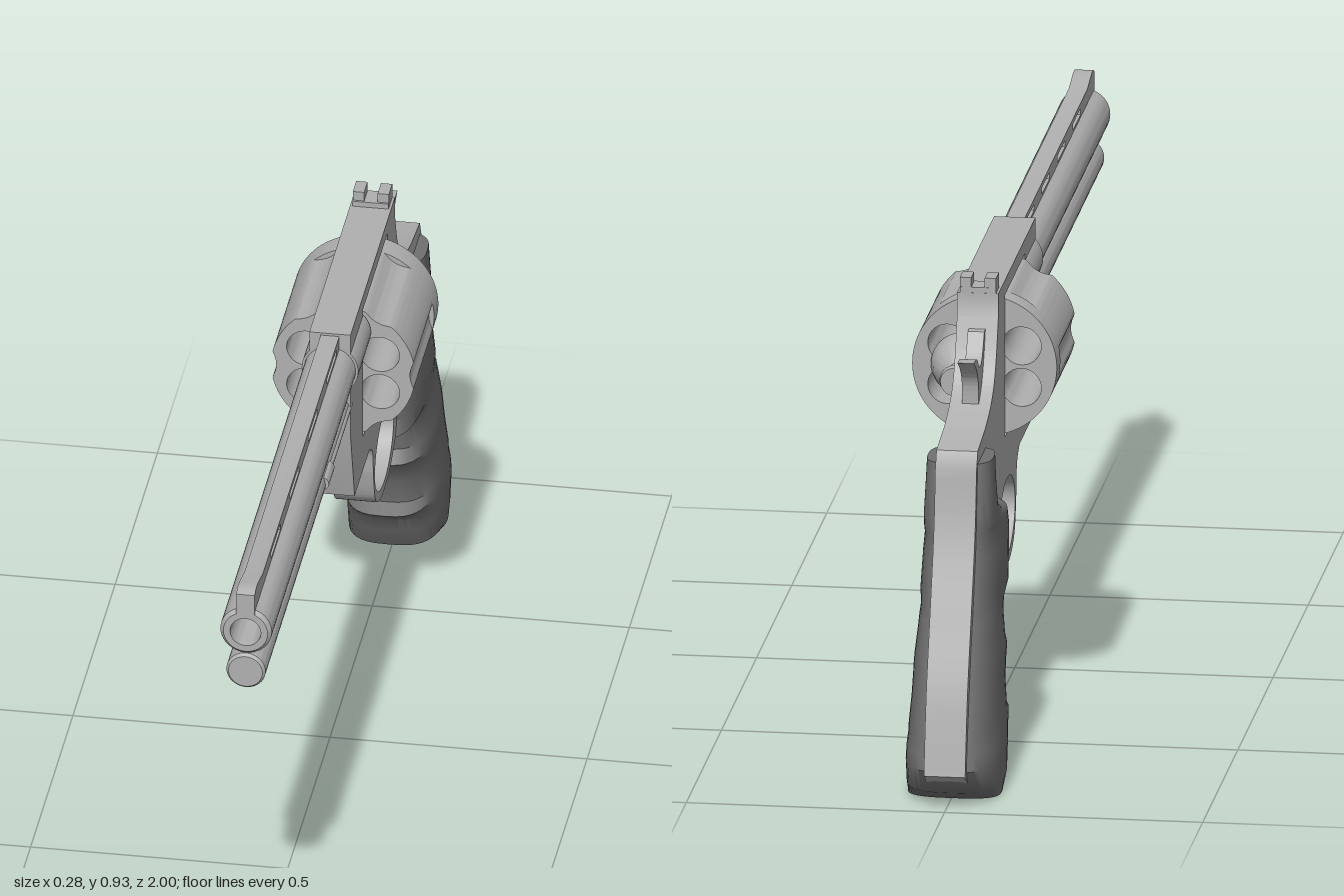
import * as THREE from 'three';
import { toCreasedNormals } from 'three/addons/utils/BufferGeometryUtils.js';

const steel = new THREE.MeshStandardMaterial({ color: 0xb0b0b0 });
steel.name = 'steel grey';
const rubber = new THREE.MeshStandardMaterial({ color: 0x707070 });
rubber.name = 'dark grip grey';

const vecs = (pts) => pts.map(([a, b]) => new THREE.Vector2(a, b));

function add(group, name, geometry, material = steel) {
  const mesh = new THREE.Mesh(toCreasedNormals(geometry, 0.6), material);
  mesh.name = name;
  group.add(mesh);
  return mesh;
}

// Extrudes a side profile drawn in (z, y), centred on x = 0
function sidePlate(shape, width) {
  const g = new THREE.ExtrudeGeometry(shape, { depth: width, bevelEnabled: false, curveSegments: 16 });
  return g.translate(0, 0, -width / 2).rotateY(-Math.PI / 2);
}

// Turned part along z; profile of [radius, z] from back to front
function turned(profile, x, y, segments = 40) {
  return new THREE.LatheGeometry(vecs(profile), segments).rotateX(Math.PI / 2).translate(x, y, 0);
}

function box(w, h, d, x, y, z) {
  return new THREE.BoxGeometry(w, h, d).translate(x, y, z);
}

function rectHole(z0, z1, y0, y1) {
  return new THREE.Path(vecs([[z0, y0], [z1, y0], [z1, y1], [z0, y1]]));
}

// Frame with top strap, trigger guard and backstrap in one outline
function frameGeometry() {
  const s = new THREE.Shape();
  s.moveTo(0, 0.905);
  s.lineTo(0, 0.68);
  s.lineTo(-0.048, 0.518);
  s.lineTo(-0.225, 0.518);
  s.splineThru(vecs([[-0.262, 0.49], [-0.272, 0.43], [-0.295, 0.365], [-0.35, 0.333],
    [-0.42, 0.328], [-0.48, 0.338], [-0.54, 0.37]]));
  s.lineTo(-0.64, 0.38);
  s.lineTo(-0.7, 0.25);
  s.lineTo(-0.76, 0.1);
  s.lineTo(-0.96, 0.05);
  s.lineTo(-1.0, 0.075);
  s.splineThru(vecs([[-0.968, 0.225], [-0.918, 0.36], [-0.872, 0.48], [-0.85, 0.56], [-0.838, 0.64]]));
  s.lineTo(-0.82, 0.675);
  s.lineTo(-0.71, 0.69);
  s.splineThru(vecs([[-0.64, 0.71], [-0.59, 0.74], [-0.555, 0.79], [-0.525, 0.865]]));
  s.lineTo(-0.525, 0.905);
  s.holes.push(rectHole(-0.435, -0.15, 0.592, 0.876));
  const guard = new THREE.Path();
  guard.absellipse(-0.4, 0.423, 0.112, 0.078, 0, Math.PI * 2);
  s.holes.push(guard);
  return sidePlate(s, 0.08);
}

// Chambered disc; fluted scallops lie between the chambers
function drumGeometry(fluted, depth, z) {
  const pts = [], n = 180, d = 0.185, r = 0.055, sector = Math.PI / 3;
  for (let i = 0; i < n; i++) {
    const a = (i / n) * Math.PI * 2;
    const t = a - Math.round(a / sector) * sector;
    const k = r * r - (d * Math.sin(t)) ** 2;
    const cut = fluted && k > 0 ? d * Math.cos(t) - Math.sqrt(k) : 0.14;
    const rad = Math.min(0.14, cut);
    pts.push([rad * Math.cos(a), rad * Math.sin(a)]);
  }
  const s = new THREE.Shape(vecs(pts));
  for (let i = 0; i < 6; i++) {
    const a = (i + 0.5) * sector;
    const hole = new THREE.Path();
    hole.absarc(0.083 * Math.cos(a), 0.083 * Math.sin(a), 0.038, 0, Math.PI * 2);
    s.holes.push(hole);
  }
  return new THREE.ExtrudeGeometry(s, { depth, bevelEnabled: false, curveSegments: 14 }).translate(0, 0.733, z);
}

// Grip lofted through rounded sections: [y, front z, back z, half width]
function gripGeometry() {
  const rings = [
    [0.004, -0.79, -0.9, 0.09], [0.03, -0.69, -0.955, 0.092], [0.08, -0.66, -0.988, 0.092],
    [0.11, -0.65, -0.982, 0.091], [0.134, -0.62, -0.976, 0.089], [0.15, -0.648, -0.972, 0.088],
    [0.2, -0.643, -0.957, 0.084], [0.24, -0.62, -0.945, 0.083], [0.257, -0.606, -0.94, 0.083],
    [0.28, -0.628, -0.932, 0.081], [0.33, -0.622, -0.915, 0.076], [0.35, -0.6, -0.908, 0.075],
    [0.366, -0.52, -0.902, 0.075], [0.396, -0.537, -0.89, 0.077], [0.465, -0.515, -0.865, 0.075],
    [0.5, -0.525, -0.855, 0.072], [0.515, -0.606, -0.851, 0.071], [0.545, -0.685, -0.845, 0.069],
    [0.6, -0.697, -0.836, 0.066], [0.65, -0.7, -0.826, 0.064],
  ];
  const N = 40, pos = [], idx = [];
  const soft = (v) => Math.sign(v) * Math.abs(v) ** 0.68;
  for (const [y, f, b, w] of rings) {
    for (let i = 0; i < N; i++) {
      const a = (i / N) * Math.PI * 2;
      pos.push(w * soft(Math.sin(a)), y, (f + b) / 2 + ((f - b) / 2) * soft(Math.cos(a)));
    }
  }
  const last = rings.length - 1;
  for (let j = 0; j < last; j++) {
    for (let i = 0; i < N; i++) {
      const a = j * N + i, b = j * N + ((i + 1) % N);
      idx.push(a, b, a + N, b, b + N, a + N);
    }
  }
  for (let i = 1; i < N - 1; i++) {
    idx.push(0, i + 1, i);
    idx.push(last * N, last * N + i, last * N + i + 1);
  }
  const g = new THREE.BufferGeometry();
  g.setAttribute('position', new THREE.Float32BufferAttribute(pos, 3));
  g.setIndex(idx);
  return g;
}

export function createModel() {
  const model = new THREE.Group();
  model.name = 'revolver';

  add(model, 'frame', frameGeometry());
  add(model, 'barrelCollar', turned([[0, -0.15], [0.055, -0.15], [0.055, 0], [0, 0]], 0, 0.825));

  // Barrel with recessed bore, and the lug beneath it
  add(model, 'barrel', turned([[0.05, -0.1], [0.05, 0.992], [0.043, 1], [0.03, 1], [0.028, 0.9], [0, 0.9]], 0, 0.825));
  add(model, 'underLug', turned([[0.038, -0.1], [0.038, 0.994], [0.033, 1], [0, 1]], 0, 0.737));
  add(model, 'ejectorRod', turned([[0.01, -0.02], [0.01, 0.22], [0.014, 0.22], [0.014, 0.285], [0, 0.285]], 0.031, 0.74, 16));

  // Ventilated rib with ramped front sight
  const rib = new THREE.Shape(vecs([[-0.02, 0.865], [1, 0.865], [1, 0.908], [0.985, 0.914],
    [0.965, 0.914], [0.9, 0.9], [-0.02, 0.9]]));
  for (const z of [0.09, 0.31, 0.53, 0.75]) rib.holes.push(rectHole(z - 0.055, z + 0.055, 0.877, 0.89));
  add(model, 'ventedRib', sidePlate(rib, 0.036));

  // Rear sight
  add(model, 'rearSightBase', box(0.07, 0.018, 0.045, 0, 0.907, -0.502));
  for (const side of [-1, 1]) {
    add(model, 'rearSightPost', box(0.022, 0.03, 0.04, side * 0.024, 0.92, -0.504));
  }

  // Cylinder
  add(model, 'flutedCylinder', drumGeometry(true, 0.225, -0.38));
  add(model, 'cylinderRearBand', drumGeometry(false, 0.05, -0.43));

  // Bell and knob on the left side behind the cylinder
  add(model, 'latchKnob', turned([[0, -0.56], [0.028, -0.56], [0.031, -0.548], [0.022, -0.528], [0.022, -0.5],
    [0.038, -0.488], [0.055, -0.463], [0.063, -0.437], [0.063, -0.432], [0, -0.432]], 0.04, 0.735));

  // Hammer with curved spur
  const hammer = new THREE.Shape();
  hammer.moveTo(-0.5, 0.84);
  hammer.lineTo(-0.55, 0.835);
  hammer.splineThru(vecs([[-0.585, 0.79], [-0.62, 0.785], [-0.655, 0.81], [-0.7, 0.815]]));
  hammer.splineThru(vecs([[-0.66, 0.79], [-0.635, 0.755], [-0.63, 0.7]]));
  hammer.lineTo(-0.5, 0.7);
  add(model, 'hammer', sidePlate(hammer, 0.032));

  // Trigger
  const trigger = new THREE.Shape();
  trigger.moveTo(-0.395, 0.52);
  trigger.splineThru(vecs([[-0.41, 0.45], [-0.395, 0.39], [-0.37, 0.36]]));
  trigger.splineThru(vecs([[-0.41, 0.37], [-0.433, 0.42], [-0.44, 0.52]]));
  add(model, 'trigger', sidePlate(trigger, 0.028));

  add(model, 'grip', gripGeometry(), rubber);
  return model;
}
